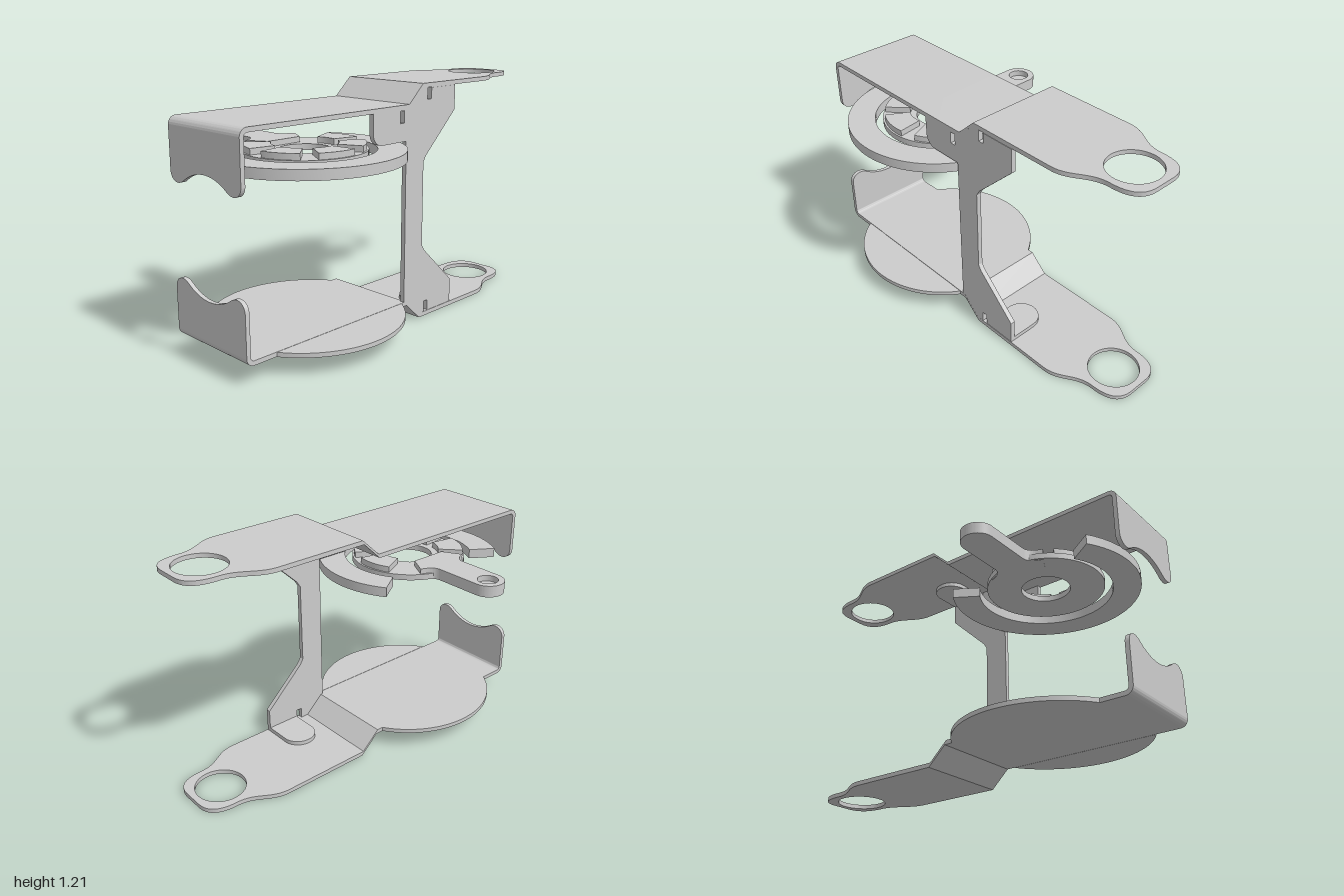
import * as THREE from 'three';
import { toCreasedNormals } from 'three/addons/utils/BufferGeometryUtils.js';

const CX = 0.078, W = 0.2525, T = 0.022, H = 1.21; // plate centre, half width, sheet thickness, height
const DISC = { x: 0.08, z: 0.43, r: 0.48 };
const rad = THREE.MathUtils.degToRad;
const material = new THREE.MeshStandardMaterial({ color: 0xcccccc });

function extrude(shape, depth) {
  return new THREE.ExtrudeGeometry(shape, { depth, bevelEnabled: false, curveSegments: 32 });
}

function mesh(name, geometry) {
  const m = new THREE.Mesh(toCreasedNormals(geometry, 0.5), material);
  m.name = name;
  return m;
}

// Shape in (x, z), hanging down from topY
function slab(name, shape, topY, depth) {
  return mesh(name, extrude(shape, depth).rotateX(Math.PI / 2).translate(0, topY, 0));
}

// Shape in (z, y), running from rightX towards -x
function side(name, shape, rightX, depth) {
  return mesh(name, extrude(shape, depth).rotateY(-Math.PI / 2).translate(rightX, 0, 0));
}

function polygon(points) {
  return new THREE.Shape(points.map(([a, b]) => new THREE.Vector2(a, b)));
}

function circle(x, y, r) {
  return new THREE.Path().absarc(x, y, r, 0, Math.PI * 2, true);
}

// Annular sector around the disc centre, angles in degrees
function sector(r0, r1, a0, a1) {
  const s = new THREE.Shape();
  s.absarc(DISC.x, DISC.z, r1, rad(a0), rad(a1), false);
  s.absarc(DISC.x, DISC.z, r0, rad(a1), rad(a0), true);
  s.closePath();
  return s;
}

// Bent sheet: rear tongue with eye, stepped strip, scalloped front flange
function bentSheet(name) {
  const g = new THREE.Group();
  g.name = name;

  const tongue = new THREE.Shape();
  tongue.moveTo(CX - W, -0.6);
  tongue.bezierCurveTo(CX - W, -0.71, CX - 0.165, -0.74, CX - 0.165, -0.85);
  tongue.bezierCurveTo(CX - 0.165, -0.95, CX - 0.13, -1, CX - 0.05, -1);
  tongue.lineTo(CX + 0.05, -1);
  tongue.bezierCurveTo(CX + 0.13, -1, CX + 0.165, -0.95, CX + 0.165, -0.85);
  tongue.bezierCurveTo(CX + 0.165, -0.74, CX + W, -0.71, CX + W, -0.6);
  tongue.closePath();
  tongue.holes.push(circle(CX, -0.84, 0.128));
  g.add(slab('eyeTongue', tongue, H, T));

  const strip = new THREE.Shape();
  strip.moveTo(-0.6, H);
  strip.lineTo(-0.12, H);
  strip.lineTo(-0.02, 1.117);
  strip.lineTo(0.96, 1.117);
  strip.absarc(0.96, 1.077, 0.04, Math.PI / 2, 0, true);
  strip.lineTo(1 - T, 1.077);
  strip.absarc(0.96, 1.077, 0.04 - T, 0, Math.PI / 2, false);
  strip.lineTo(-0.012, 1.117 - T);
  strip.lineTo(-0.112, H - T);
  strip.lineTo(-0.6, H - T);
  strip.closePath();
  g.add(side('steppedStrip', strip, CX + W, W * 2));

  const flange = new THREE.Shape();
  flange.moveTo(CX - W, 1.077);
  flange.lineTo(CX - W, 0.88);
  flange.bezierCurveTo(CX - W, 0.83, CX - 0.2, 0.81, CX - 0.155, 0.84);
  flange.bezierCurveTo(CX - 0.06, 0.905, CX + 0.06, 0.905, CX + 0.155, 0.84);
  flange.bezierCurveTo(CX + 0.2, 0.81, CX + W, 0.83, CX + W, 0.88);
  flange.lineTo(CX + W, 1.077);
  flange.closePath();
  g.add(mesh('scallopedFlange', extrude(flange, T).translate(0, 0, 1 - T)));
  return g;
}

// Side post with flared ends, notches and folded tabs
function sidePost() {
  const g = new THREE.Group();
  g.name = 'sidePost';
  const upper = [[0, 1.097], [-0.012, 1.097], [-0.112, 1.188], [-0.155, 1.188], [-0.155, 1.13],
    [-0.185, 1.13], [-0.185, 1.185], [-0.37, 1.185], [-0.37, 1.06], [-0.15, 0.85], [-0.132, 0.82]];
  const lower = upper.map(([z, y]) => [z, H - y]).reverse();
  g.add(side('postWeb', polygon([...upper, ...lower]), 0.33, 0.025));

  // Folded tabs resting against the two sheets
  const tab = new THREE.Shape();
  tab.moveTo(0.328, -0.19);
  tab.lineTo(0.17, -0.19);
  tab.absarc(0.17, -0.28, 0.09, Math.PI / 2, Math.PI * 1.5, false);
  tab.lineTo(0.328, -0.37);
  tab.closePath();
  for (const [name, top] of [['upperTab', 1.188], ['lowerTab', 0.044]]) g.add(slab(name, tab, top, T));

  // Forward ear with a small window
  const ear = new THREE.Shape();
  ear.moveTo(-0.01, 0.94);
  ear.lineTo(0.17, 0.94);
  ear.absarc(0.17, 1.0, 0.06, -Math.PI / 2, 0, false);
  ear.lineTo(0.23, 1.097);
  ear.lineTo(-0.01, 1.097);
  ear.closePath();
  ear.holes.push(new THREE.Path(polygon([[0.015, 1.03], [0.015, 1.09], [0.045, 1.09], [0.045, 1.03]]).getPoints()));
  g.add(side('frontEar', ear, 0.33, 0.025));
  return g;
}

// Rotary wheel with raised pads and a lever
function leverWheel() {
  const g = new THREE.Group();
  g.name = 'leverWheel';
  const base = new THREE.Shape().absarc(DISC.x, DISC.z, 0.3, 0, Math.PI * 2, false);
  base.holes.push(circle(DISC.x, DISC.z, 0.125));
  g.add(slab('wheelBase', base, 0.93, 0.03));
  for (const a of [11, 65, 119, -43, -97]) {
    g.add(slab('wheelPad', sector(0.16, 0.29, a - 19, a + 19), 0.96, 0.03));
  }

  const ex = -0.48, hw = 0.083;
  const lever = () => {
    const s = new THREE.Shape();
    s.absarc(ex, DISC.z, hw, Math.PI / 2, Math.PI * 1.5, false);
    s.lineTo(-0.24, DISC.z - hw);
    s.quadraticCurveTo(-0.19, DISC.z - hw, -0.17, DISC.z - 0.155);
    s.lineTo(-0.07, DISC.z - 0.1);
    s.lineTo(-0.07, DISC.z + 0.1);
    s.lineTo(-0.17, DISC.z + 0.155);
    s.quadraticCurveTo(-0.19, DISC.z + hw, -0.24, DISC.z + hw);
    s.closePath();
    return s;
  };
  const top = lever();
  top.holes.push(circle(ex, DISC.z, 0.052));
  g.add(slab('leverTop', top, 0.957, 0.03), slab('leverBase', lever(), 0.927, 0.029));
  return g;
}

export function createModel() {
  const model = new THREE.Group();
  model.name = 'clampBracket';

  model.add(bentSheet('upperSheet'));
  const lowerSheet = bentSheet('lowerSheet');
  lowerSheet.rotation.z = Math.PI;
  lowerSheet.position.set(CX * 2, H, 0);
  model.add(lowerSheet);

  // Round side wings of the lower sheet
  const a = Math.acos(W / DISC.r);
  for (const turn of [0, Math.PI]) {
    const wing = new THREE.Shape();
    wing.absarc(DISC.x, DISC.z, DISC.r, turn - a, turn + a, false);
    wing.closePath();
    model.add(slab('discWing', wing, H - 1.117 + T, T));
  }

  model.add(sidePost());

  // Open ring around the wheel
  model.add(slab('openRing', sector(0.34, DISC.r, -123, 123), 0.93, 0.05));
  model.add(leverWheel());
  return model;
}
